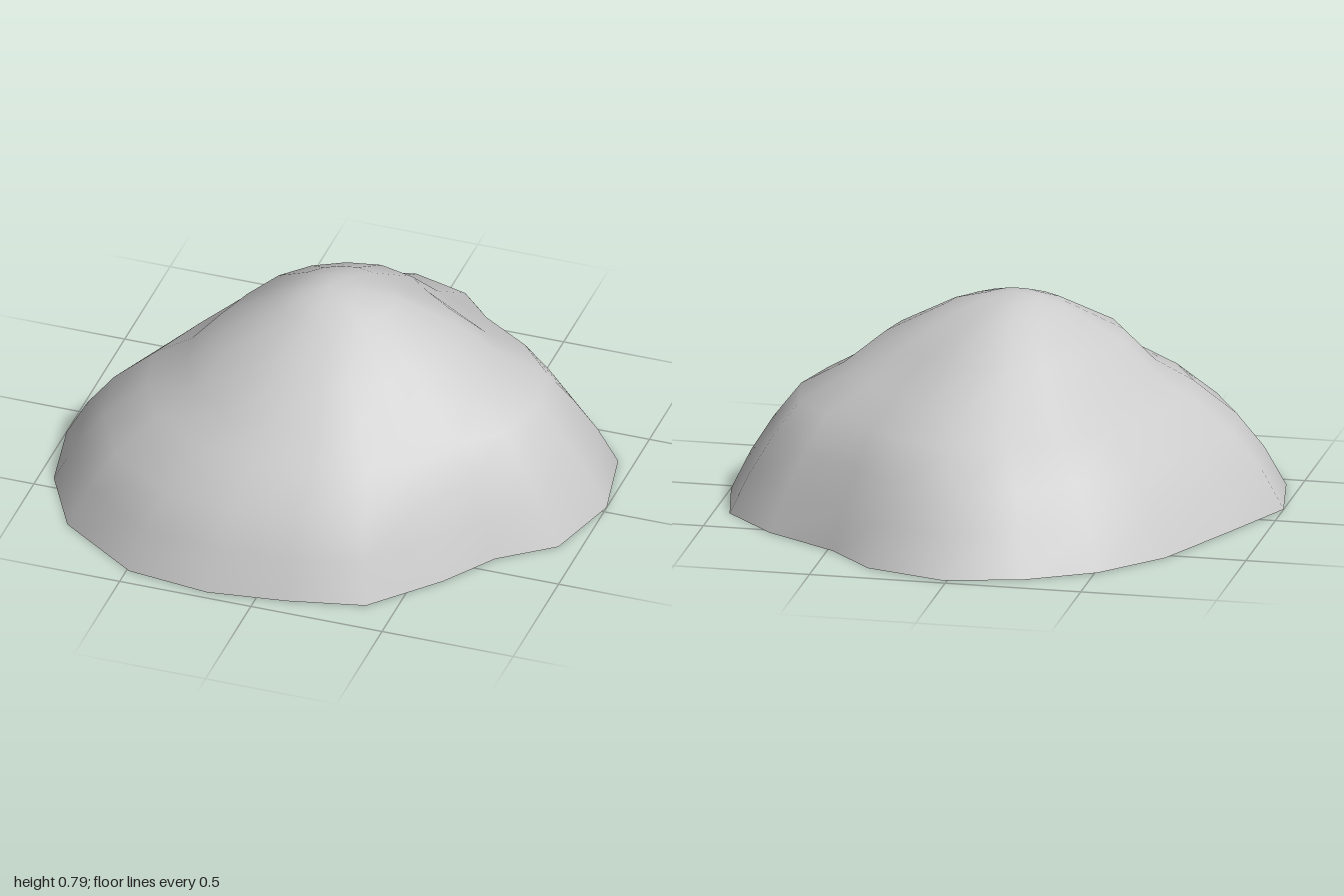
import * as THREE from 'three';

// Base outline [x, z], running from the back round by +x to the front
const outline = [
  [0.02, -0.97], [0.31, -0.88], [0.48, -0.70], [0.75, -0.53], [0.94, -0.33],
  [1.0, -0.03], [0.92, 0.27], [0.73, 0.42], [0.60, 0.62], [0.39, 0.86],
  [0.11, 0.925], [-0.18, 0.965], [-0.49, 0.925], [-0.80, 0.71], [-0.945, 0.44],
  [-1.0, 0.14], [-0.86, -0.19], [-0.71, -0.53], [-0.51, -0.76], [-0.26, -0.905],
];

// Rings up the mound: height, centre x, centre z, scale, roundness
const rings = [
  [0, 0, 0, 1, 0],
  [0.145, 0.005, 0.01, 0.925, 0],
  [0.275, 0.015, 0.02, 0.835, 0.03],
  [0.405, 0.04, 0.02, 0.71, 0.08],
  [0.49, 0.03, 0.035, 0.565, 0.18],
  [0.615, 0.01, 0.04, 0.435, 0.3],
  [0.735, 0, 0.04, 0.215, 0.4],
  [0.77, -0.02, 0.045, 0.105, 0.5],
];
const apex = [-0.03, 0.787, 0.05];

function moundGeometry() {
  const n = outline.length, pos = [], index = [];
  for (const [y, cx, cz, scale, round] of rings) {
    for (const [x, z] of outline) {
      // Lobes soften towards a circle near the summit
      const k = scale * THREE.MathUtils.lerp(1, 0.97 / Math.hypot(x, z), round);
      pos.push(cx + x * k, y, cz + z * k);
    }
  }
  pos.push(...apex);
  const top = rings.length * n;
  for (let r = 0; r < rings.length; r++) {
    for (let i = 0; i < n; i++) {
      const j = (i + 1) % n, a = r * n + i, b = r * n + j;
      if (r === rings.length - 1) index.push(a, top, b);
      else index.push(a, a + n, b, b, a + n, b + n);
    }
  }
  const geo = new THREE.BufferGeometry();
  geo.setAttribute('position', new THREE.Float32BufferAttribute(pos, 3));
  geo.setIndex(index);
  geo.computeVertexNormals();
  return geo;
}

export function createModel() {
  const group = new THREE.Group();
  // Open-bottomed shell
  const mound = new THREE.Mesh(
    moundGeometry(),
    new THREE.MeshStandardMaterial({ color: 0xcccccc, side: THREE.DoubleSide })
  );
  mound.name = 'mound';
  group.add(mound);
  return group;
}
